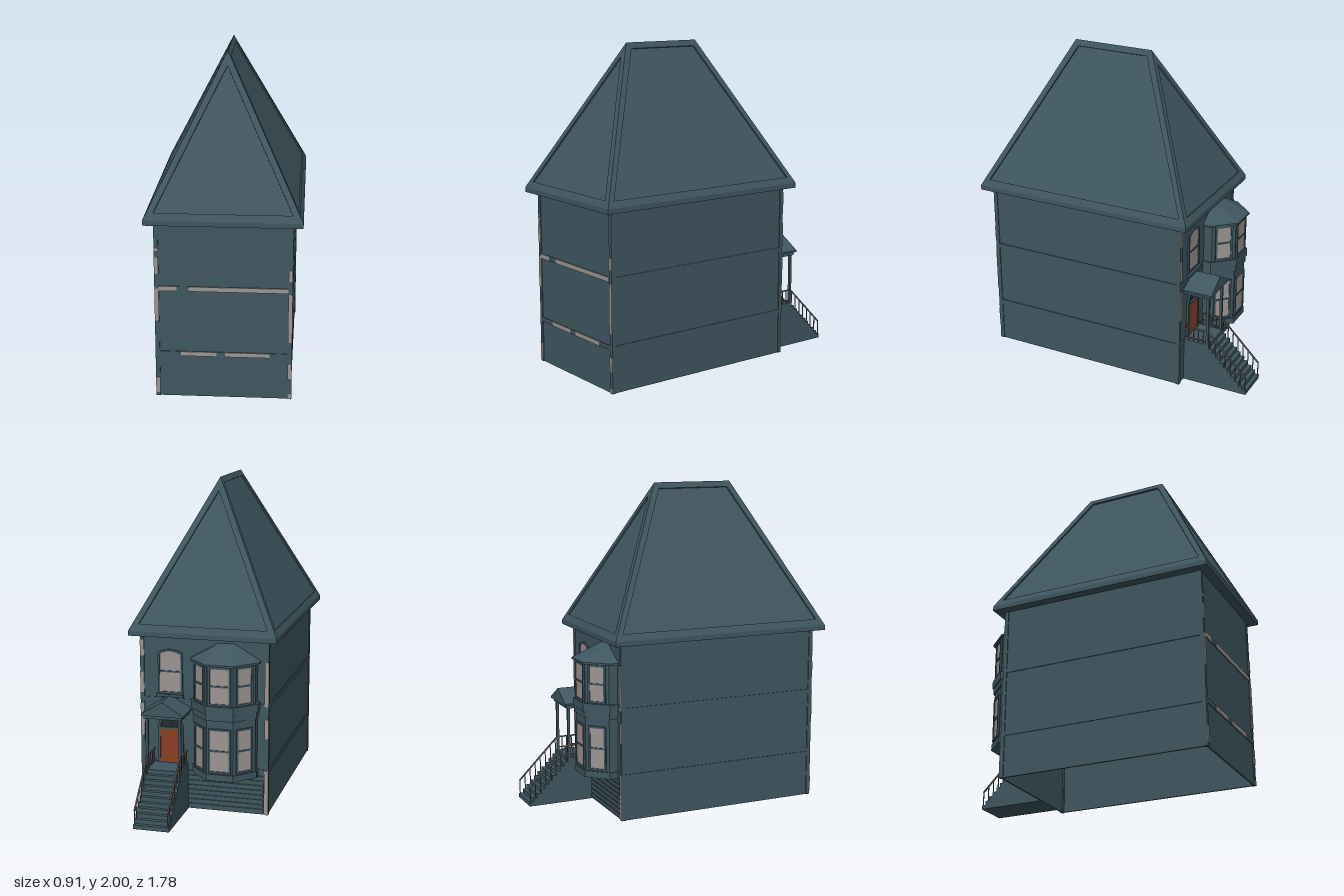
import * as THREE from 'three';
import { ConvexGeometry } from 'three/addons/geometries/ConvexGeometry.js';

const mat = (name, color) => new THREE.MeshStandardMaterial({ name, color });

export function createModel() {
  const slate = mat('slate blue', 0x3f5660);
  const stone = mat('pale stone', 0x9b9492);
  const wood = mat('door brown', 0x8a3f24);
  const iron = mat('rail grey', 0x6a6361);
  const shade = mat('dark glass', 0x23292c);
  const house = new THREE.Group();
  house.name = 'townhouse';

  const add = (name, geo, material, parent = house) => {
    const m = new THREE.Mesh(geo, material);
    m.name = name;
    parent.add(m);
    return m;
  };
  // box given by its limits on each axis
  const box = (name, material, x0, x1, y0, y1, z0, z1, parent) => {
    const m = add(name, new THREE.BoxGeometry(x1 - x0, y1 - y0, z1 - z0), material, parent);
    m.position.set((x0 + x1) / 2, (y0 + y1) / 2, (z0 + z1) / 2);
    return m;
  };
  // thin square bar between two points
  const bar = (name, material, a, b, t, parent) => {
    const p = new THREE.Vector3(...a), q = new THREE.Vector3(...b);
    const m = add(name, new THREE.BoxGeometry(t, t, p.distanceTo(q)), material, parent);
    m.position.copy(p).add(q).multiplyScalar(0.5);
    m.lookAt(q);
    return m;
  };
  const extrude = (pts, depth) => new THREE.ExtrudeGeometry(
    new THREE.Shape(pts.map(p => new THREE.Vector2(...p))), { depth, bevelEnabled: false });

  // hollow walls, open at the bottom
  const Z0 = -0.475, Z1 = 0.835, W = 0.4;
  box('frontWall', slate, -0.395, 0.395, 0, 1.08, Z1 - 0.015, Z1 - 0.005);
  box('backWall', slate, -0.395, 0.395, 0, 1.08, Z0 + 0.005, Z0 + 0.015);
  for (const s of [-1, 1]) {
    const x = s * 0.39;
    box('sideWall', slate, x - 0.005, x + 0.005, 0, 1.08, Z0 + 0.015, Z1 - 0.015);
    for (const z of [Z0, Z1 - 0.025])
      box('cornerPost', slate, s > 0 ? W - 0.025 : -W, s > 0 ? W : -W + 0.025, 0, 1.08, z, z + 0.025);
  }
  // floor bands around the walls
  for (const [y0, y1] of [[0.26, 0.287], [0.667, 0.695]]) {
    for (const z of [Z0, Z1 - 0.012]) box('floorBand', slate, -0.375, 0.375, y0, y1, z, z + 0.012);
    for (const x of [-W, W - 0.012]) box('floorBand', slate, x, x + 0.012, y0, y1, Z0 + 0.025, Z1 - 0.025);
  }
  // pale stone patches on the posts and bands
  const patch = (x0, x1, y0, y1, front) => {
    const z = front ? Z1 : Z0 - 0.003;
    box('stonePatch', stone, x0, x1, y0, y1, z, z + 0.003);
  };
  const posts = [
    [-1, true, [[0.02, 0.12], [0.48, 0.68], [0.77, 0.87], [0.91, 0.93]]],
    [1, true, [[0, 0.03], [0.13, 0.22], [0.36, 0.66], [0.74, 0.81]]],
    [-1, false, [[0, 0.28], [0.48, 0.6], [0.68, 0.95]]],
    [1, false, [[0.45, 0.65], [0.72, 0.85], [0.95, 1.05]]],
  ];
  for (const [s, front, runs] of posts)
    for (const [y0, y1] of runs) patch(s * 0.3875 - 0.0125, s * 0.3875 + 0.0125, y0, y1, front);
  for (const [x0, x1] of [[-0.375, -0.27], [-0.2, 0.375]]) patch(x0, x1, 0.667, 0.695, true);
  for (const [x0, x1] of [[-0.25, -0.04], [0.01, 0.27]]) patch(x0, x1, 0.26, 0.287, true);

  // hipped roof: every slope is a frame around a recessed panel
  box('eaves', slate, -0.455, 0.455, 1.08, 1.11, -0.53, 0.89);
  const V = (x, y, z) => new THREE.Vector3(x, y, z);
  const rise = y => (y - 1.11) / 0.89;
  const onFront = (x, y) => V(x, y, 0.89 - 0.45 * rise(y));
  const onSide = (z, y) => V(0.455 * (1 - rise(y)), y, z);
  const slopes = [
    [[onFront(-0.455, 1.11), onFront(0.455, 1.11), onFront(0, 2)],
      [onFront(-0.395, 1.15), onFront(0.395, 1.15), onFront(0, 1.92)]],
    [[onSide(0.89, 1.11), onSide(-0.53, 1.11), onSide(-0.08, 2), onSide(0.44, 2)],
      [onSide(0.835, 1.15), onSide(-0.475, 1.15), onSide(-0.055, 1.965), onSide(0.415, 1.965)]],
  ];
  const turn = p => V(-p.x, p.y, 0.36 - p.z);
  const roofTris = [];
  const quad = (a, b, c, d) => roofTris.push(a, b, c, a, c, d);
  for (const f of [...slopes, ...slopes.map(s => s.map(l => l.map(turn)))]) {
    const [outer, inner] = f, n = outer.length;
    const normal = outer[1].clone().sub(outer[0]).cross(outer[2].clone().sub(outer[0])).normalize();
    const deep = inner.map(p => p.clone().addScaledVector(normal, -0.01));
    for (let i = 0; i < n; i++) {
      const j = (i + 1) % n;
      quad(outer[i], outer[j], inner[j], inner[i]);
      quad(inner[i], inner[j], deep[j], deep[i]);
    }
    for (let i = 1; i < n - 1; i++) roofTris.push(deep[0], deep[i], deep[i + 1]);
  }
  const roofGeo = new THREE.BufferGeometry().setFromPoints(roofTris);
  roofGeo.computeVertexNormals();
  add('roof', roofGeo, slate);

  // sash window facing local +z
  const sash = (x, y, z, angle, w, h, arch = 0) => {
    const g = new THREE.Group();
    g.name = 'window';
    const outline = (hw, hh, rise) => {
      const s = new THREE.Shape();
      s.moveTo(-hw, -hh);
      s.lineTo(hw, -hh);
      s.lineTo(hw, hh - rise);
      if (rise) s.quadraticCurveTo(0, hh + rise, -hw, hh - rise);
      else s.lineTo(-hw, hh);
      return s;
    };
    const frame = outline(w / 2 + 0.012, h / 2 + 0.012, arch);
    frame.holes.push(outline(w / 2, h / 2, arch));
    add('windowFrame', new THREE.ExtrudeGeometry(frame, { depth: 0.01, bevelEnabled: false }), slate, g);
    add('pane', new THREE.ExtrudeGeometry(outline(w / 2, h / 2, arch),
      { depth: 0.004, bevelEnabled: false }), stone, g);
    box('sashBar', slate, -w / 2, w / 2, -0.005, 0.005, 0.004, 0.009, g);
    g.position.set(x, y, z);
    g.rotation.y = angle;
    house.add(g);
  };
  sash(0.21, 0.86, Z0 + 0.005, Math.PI, 0.13, 0.25, 0.02);
  box('windowSill', slate, 0.125, 0.295, 0.705, 0.722, Z0 - 0.018, Z0 + 0.005);

  // two-storey bay with angled sides
  const bayPlan = g => [[0.05 + g, 0.465], [0.05 + g, 0.525], [-0.06 + g * 0.4, 0.635 + g],
    [-0.22 - g * 0.4, 0.635 + g], [-0.33 - g, 0.525], [-0.33 - g, 0.465]];
  const bayLayer = (name, g, y0, y1) =>
    add(name, extrude(bayPlan(g), y1 - y0).rotateX(-Math.PI / 2), slate).position.y = y0;
  bayLayer('bayBase', 0.008, 0.25, 0.29);
  bayLayer('bayLower', 0, 0.29, 0.62);
  bayLayer('bayCornice', 0.008, 0.62, 0.66);
  bayLayer('bayLedge', 0.015, 0.66, 0.71);
  bayLayer('bayUpper', 0, 0.71, 0.95);
  bayLayer('bayRoofRim', 0.02, 0.95, 0.962);
  add('bayRoof', new ConvexGeometry([...bayPlan(0.02).map(([x, d]) => V(x, 0.962, -d)),
    V(-0.09, 1.052, -0.47), V(-0.19, 1.052, -0.47)]), slate);
  for (const [y, h] of [[0.435, 0.25], [0.83, 0.21]]) {
    sash(-0.14, y, -0.635, Math.PI, 0.115, h);
    sash(-0.005, y, -0.58, Math.PI * 0.75, 0.09, h);
    sash(-0.275, y, -0.58, -Math.PI * 0.75, 0.09, h);
  }
  // ribbed courses under the bay
  for (let i = 0; i < 8; i++)
    box('course', slate, -0.37, 0.1, 0.012 + i * 0.03, 0.034 + i * 0.03, Z0 - 0.002, Z0 + 0.005);

  // entrance door with an arched light
  box('door', wood, 0.145, 0.275, 0.285, 0.5, Z0 - 0.003, Z0 + 0.005);
  const fan = add('archedLight', new THREE.CircleGeometry(0.065, 20, 0, Math.PI), shade);
  fan.rotation.y = Math.PI;
  fan.position.set(0.21, 0.51, Z0 + 0.002);
  add('doorArch', new THREE.TorusGeometry(0.072, 0.008, 6, 20, Math.PI), slate).position.set(0.21, 0.51, Z0);
  box('doorLintel', slate, 0.138, 0.282, 0.5, 0.512, Z0 - 0.008, Z0 + 0.005);
  for (const x of [0.138, 0.282])
    box('doorJamb', slate, x - 0.008, x + 0.008, 0.285, 0.51, Z0 - 0.008, Z0 + 0.005);

  // landing and steps cut from one profile
  const steps = 10, profile = [[0.465, 0], [0.465, 0.285], [0.635, 0.285]];
  for (let i = 1; i <= steps; i++) {
    const d = 0.635 + (i - 1) * 0.0255, y = 0.285 - i * 0.0259;
    profile.push([d, y], [d + 0.0255, y]);
  }
  profile.push([0.89, 0]);
  add('stairs', extrude(profile, 0.22).rotateY(Math.PI / 2), slate).position.x = 0.1;

  // railings on both sides
  for (const x of [0.108, 0.312]) {
    bar('landingRail', iron, [x, 0.37, Z0], [x, 0.37, -0.63], 0.008);
    bar('landingFootRail', iron, [x, 0.302, Z0], [x, 0.302, -0.63], 0.006);
    bar('stairRail', iron, [x, 0.37, -0.63], [x, 0.112, -0.886], 0.008);
    for (let i = 0; i < 4; i++) {
      const z = -0.5 - i * 0.032;
      bar('baluster', iron, [x, 0.285, z], [x, 0.37, z], 0.005);
    }
    for (let i = 0; i < 8; i++) {
      const z = -0.642 - i * 0.0346, y = 0.37 + (z + 0.63);
      bar('baluster', iron, [x, Math.max(0, y - 0.11), z], [x, y, z], 0.005);
    }
    // porch post
    box('porchPost', slate, x - 0.008, x + 0.008, 0.285, 0.62, -0.632, -0.616);
  }
  // gabled porch roof
  box('porchBeam', slate, 0.092, 0.328, 0.605, 0.635, -0.64, Z0 + 0.005);
  add('porchRoof', extrude([[0.08, 0.625], [0.34, 0.625], [0.34, 0.637], [0.21, 0.715], [0.08, 0.637]], 0.185), slate)
    .position.z = -0.655;
  return house;
}
